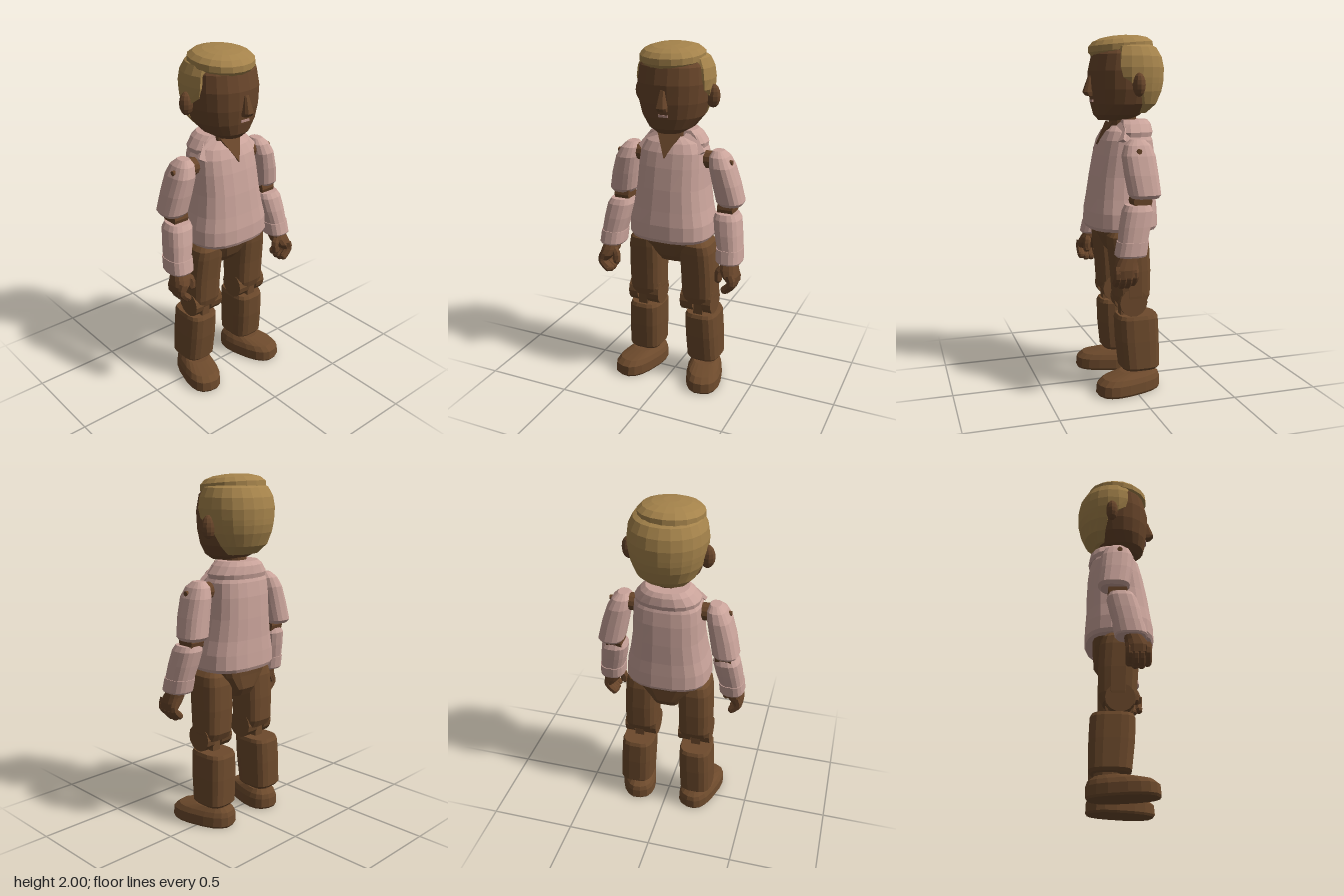
import * as THREE from 'three';

const paint = (name, color) => {
  const m = new THREE.MeshStandardMaterial({ color, flatShading: true });
  m.name = name;
  return m;
};

// Stack of superellipse sections [y, cx, cz, rx, rz]; optional cut flattens the front at a z value (6th entry)
function loft(sections, side = 1, n = 2.5, segs = 16) {
  const pos = [], idx = [], rows = sections.length;
  const curve = (v) => Math.sign(v) * Math.pow(Math.abs(v), 2 / n);
  for (const [y, cx, cz, rx, rz, cut = Infinity] of sections) {
    for (let i = 0; i < segs; i++) {
      const a = ((i + 0.5) / segs) * Math.PI * 2;
      pos.push(side * cx + rx * curve(Math.cos(a)), y, Math.min(cut, cz + rz * curve(Math.sin(a))));
    }
  }
  for (let j = 0; j < rows - 1; j++) {
    for (let i = 0; i < segs; i++) {
      const a = j * segs + i, b = j * segs + (i + 1) % segs;
      idx.push(a, a + segs, b, b, a + segs, b + segs);
    }
  }
  const top = (rows - 1) * segs;
  for (let i = 1; i < segs - 1; i++) {
    idx.push(0, i, i + 1, top, top + i + 1, top + i);
  }
  const g = new THREE.BufferGeometry();
  g.setAttribute('position', new THREE.Float32BufferAttribute(pos, 3));
  g.setIndex(idx);
  g.computeVertexNormals();
  return g;
}

export function createModel() {
  const model = new THREE.Group();
  const skin = paint('skin brown', 0x68452a);
  const trouser = paint('trouser brown', 0x6d4a2c);
  const shirt = paint('dusty pink shirt', 0xc9a39a);
  const hair = paint('sandy hair', 0xa5834b);
  const lip = paint('pale lip', 0xb98f84);

  const add = (name, geometry, material, x = 0, y = 0, z = 0, parent = model) => {
    const mesh = new THREE.Mesh(geometry, material);
    mesh.name = name;
    mesh.position.set(x, y, z);
    parent.add(mesh);
    return mesh;
  };

  // Head, face and neck
  add('head', loft([
    [1.53, 0, 0.05, 0.075, 0.09], [1.56, 0, 0.035, 0.127, 0.132], [1.62, 0, 0.01, 0.172, 0.172],
    [1.7, 0, 0.005, 0.193, 0.188], [1.8, 0, 0.005, 0.2, 0.19], [1.89, 0, 0, 0.19, 0.175], [1.96, 0, 0, 0.13, 0.12],
  ], 1, 2.2, 20), skin);
  add('neck', loft([[1.38, 0, 0, 0.075, 0.08], [1.57, 0, 0, 0.075, 0.078]], 1, 2, 14), skin);
  add('nose', loft([
    [1.665, 0.012, 0.185, 0.028, 0.03], [1.685, 0.012, 0.185, 0.03, 0.05], [1.775, 0.012, 0.185, 0.014, 0.018],
  ], 1, 4, 8), skin);
  add('mouth', new THREE.BoxGeometry(0.055, 0.013, 0.006), lip, 0.012, 1.637, 0.185);
  for (const s of [-1, 1]) {
    const ear = add('ear', new THREE.SphereGeometry(1, 10, 8), skin, s * 0.212, 1.725, -0.028);
    ear.scale.set(0.042, 0.065, 0.035);
  }

  // Hair: back shell cut off ahead of the ears, and a tilted crown
  add('backHair', loft([
    [1.57, 0, -0.07, 0.11, 0.06, -0.07], [1.62, 0, -0.06, 0.16, 0.13, -0.065],
    [1.69, 0, -0.03, 0.197, 0.19, -0.05], [1.735, 0, -0.02, 0.208, 0.21, 0.01],
    [1.765, 0, -0.02, 0.213, 0.212, 0.055], [1.82, 0, -0.02, 0.217, 0.213, 0.07],
    [1.88, 0, -0.02, 0.209, 0.2, 0.07], [1.93, 0, -0.02, 0.185, 0.17, 0.08], [1.97, 0, -0.01, 0.11, 0.1],
  ], 1, 2.1, 22), hair);
  const crown = add('crownHair', loft([
    [-0.035, 0, 0.012, 0.155, 0.165], [-0.012, 0, 0.01, 0.178, 0.182], [0.02, 0, 0.008, 0.178, 0.18],
    [0.045, 0, 0.01, 0.152, 0.152], [0.06, 0, 0.014, 0.105, 0.105], [0.067, 0, 0.018, 0.045, 0.045],
  ], 1, 2.1, 18), hair, -0.008, 1.932, 0);
  crown.rotation.x = 0.09;

  // Shirt body
  add('shirtBody', loft([
    [0.92, 0, 0.018, 0.232, 0.19], [0.94, 0, 0.018, 0.245, 0.199], [1.02, 0, 0.018, 0.241, 0.196],
    [1.1, 0, 0.014, 0.222, 0.187], [1.22, 0, 0.006, 0.203, 0.178], [1.34, 0, -0.003, 0.197, 0.164],
    [1.42, 0, -0.008, 0.19, 0.148], [1.47, 0, -0.012, 0.162, 0.125], [1.5, 0, -0.015, 0.1, 0.095],
  ], 1, 2.7, 20), shirt);

  // Collar: raised back band, two wrapped front flaps and the open neck between them
  add('collarBand', loft([
    [1.44, 0, -0.02, 0.182, 0.138, 0.03], [1.465, 0, -0.022, 0.186, 0.142, 0.04],
    [1.51, 0, -0.028, 0.15, 0.128, 0.035], [1.533, 0, -0.03, 0.122, 0.108, 0.03],
  ], 1, 2.3, 18), shirt);
  const panel = (points, depth) => new THREE.ExtrudeGeometry(
    new THREE.Shape(points.map(([x, y]) => new THREE.Vector2(x, y))), { depth, bevelEnabled: false });
  for (const s of [-1, 1]) {
    const outline = [[0.035, 0.035], [0.115, -0.01], [0.205, 0.07], [0.14, 0.15], [0.08, 0.15]];
    const flap = add('collarFlap', panel(outline.map(([x, y]) => [s * x, y]), 0.022), shirt, 0, 1.405, 0.136);
    flap.rotation.set(-0.66, s * 0.33, 0);
  }
  const opening = add('openNeck', panel([[0, -0.015], [0.07, 0.13], [-0.07, 0.13]], 0.009), skin, 0, 1.405, 0.142);
  opening.rotation.x = -0.55;

  // Pelvis
  add('pelvis', loft([
    [0.755, 0, -0.015, 0.075, 0.08], [0.8, 0, -0.01, 0.09, 0.115],
    [0.88, 0, 0.005, 0.16, 0.135], [0.96, 0, 0.01, 0.2, 0.15],
  ], 1, 4, 16), trouser);

  for (const s of [-1, 1]) {
    // Arm
    const arm = new THREE.Group();
    arm.name = s > 0 ? 'leftArm' : 'rightArm';
    model.add(arm);
    for (const [name, x, r, w] of [['shoulderJoint', 0.205, 0.05, 0.1], ['shoulderPin', 0.31, 0.014, 0.078]]) {
      const joint = add(name, new THREE.CylinderGeometry(r, r, w, 12), skin, s * x, 1.375, x > 0.3 ? 0.014 : 0, arm);
      joint.rotation.z = Math.PI / 2;
    }
    add('upperSleeve', loft([
      [1.125, 0.334, -0.02, 0.063, 0.072], [1.145, 0.333, -0.02, 0.077, 0.088], [1.25, 0.311, -0.008, 0.075, 0.092],
      [1.35, 0.286, 0, 0.068, 0.092], [1.405, 0.27, 0, 0.054, 0.072], [1.435, 0.262, 0, 0.03, 0.038],
    ], s, 2.6), shirt, 0, 0, 0, arm);
    const elbow = add('elbowJoint', new THREE.CylinderGeometry(0.053, 0.053, 0.09, 12), skin, s * 0.322, 1.11, 0, arm);
    elbow.rotation.z = Math.PI / 2;
    add('lowerSleeve', loft([
      [0.88, 0.366, 0.06, 0.068, 0.08], [0.98, 0.347, 0.04, 0.076, 0.084],
      [1.06, 0.333, 0.022, 0.077, 0.082], [1.09, 0.328, 0.018, 0.064, 0.068],
    ], s, 2.6), shirt, 0, 0, 0, arm);
    add('cuff', loft([
      [0.82, 0.368, 0.07, 0.068, 0.08], [0.83, 0.367, 0.07, 0.074, 0.087], [0.9, 0.362, 0.056, 0.074, 0.086],
    ], s, 2.6), shirt, 0, 0, 0, arm);
    add('palm', loft([
      [0.715, 0.406, 0.104, 0.026, 0.062], [0.755, 0.388, 0.104, 0.047, 0.066],
      [0.79, 0.374, 0.095, 0.052, 0.058], [0.84, 0.368, 0.075, 0.045, 0.045],
    ], s, 2.6, 12), skin, 0, 0, 0, arm);
    const digit = (name, points, r) => {
      const path = points.map(([x, y, z]) => new THREE.Vector3(s * x, y, z));
      add(name, new THREE.TubeGeometry(new THREE.CatmullRomCurve3(path), 6, r, 7), skin, 0, 0, 0, arm);
      const end = path[path.length - 1];
      add(name + 'Tip', new THREE.SphereGeometry(r, 7, 5), skin, end.x, end.y, end.z, arm);
    };
    for (let i = 0; i < 4; i++) {
      const z = 0.06 + i * 0.031, drop = i === 0 || i === 3 ? 0.012 : 0;
      digit('finger', [[0.396, 0.77, z], [0.41, 0.725, z], [0.398, 0.69 + drop, z], [0.37, 0.664 + drop, z]], 0.023);
    }
    digit('thumb', [[0.36, 0.8, 0.11], [0.325, 0.77, 0.125], [0.322, 0.725, 0.13]], 0.023);

    // Leg
    const leg = new THREE.Group();
    leg.name = s > 0 ? 'leftLeg' : 'rightLeg';
    model.add(leg);
    add('thigh', loft([
      [0.515, 0.168, 0.01, 0.094, 0.085], [0.56, 0.167, 0.005, 0.098, 0.103], [0.7, 0.165, 0.008, 0.1, 0.11],
      [0.84, 0.16, 0.018, 0.098, 0.115], [0.89, 0.157, 0.025, 0.09, 0.11], [0.92, 0.152, 0.025, 0.065, 0.085],
    ], s, 3.2), trouser, 0, 0, 0, leg);
    for (const [name, x, r, w] of [['kneeSide', 0.11, 0.08, 0.078], ['kneeSide', 0.235, 0.08, 0.056], ['kneeJoint', 0.178, 0.062, 0.08]]) {
      const knee = add(name, new THREE.CylinderGeometry(r, r, w, 14), trouser, s * x, 0.525, 0.016, leg);
      knee.rotation.z = Math.PI / 2;
    }
    add('kneePeg', new THREE.BoxGeometry(0.056, 0.12, 0.12), trouser, s * 0.178, 0.45, 0.015, leg);
    add('shin', loft([
      [0.13, 0.192, -0.035, 0.088, 0.1], [0.145, 0.192, -0.035, 0.1, 0.113], [0.3, 0.186, -0.027, 0.101, 0.122],
      [0.425, 0.181, -0.022, 0.098, 0.122], [0.445, 0.181, -0.022, 0.09, 0.112],
    ], s, 3.2), trouser, 0, 0, 0, leg);
    add('ankle', loft([[0.08, 0.186, -0.05, 0.06, 0.07], [0.15, 0.186, -0.05, 0.06, 0.07]], s, 2.5, 12), trouser, 0, 0, 0, leg);
    const shoe = add('shoe', loft([
      [0, 0, 0, 0.1, 0.188], [0.012, 0, 0, 0.106, 0.196], [0.065, 0, -0.002, 0.103, 0.193],
      [0.092, 0, -0.015, 0.09, 0.172], [0.115, 0, -0.055, 0.07, 0.1],
    ], 1, 2.6, 18), trouser, s * 0.208, 0, 0.032, leg);
    shoe.rotation.y = s * 0.28;
  }
  return model;
}
